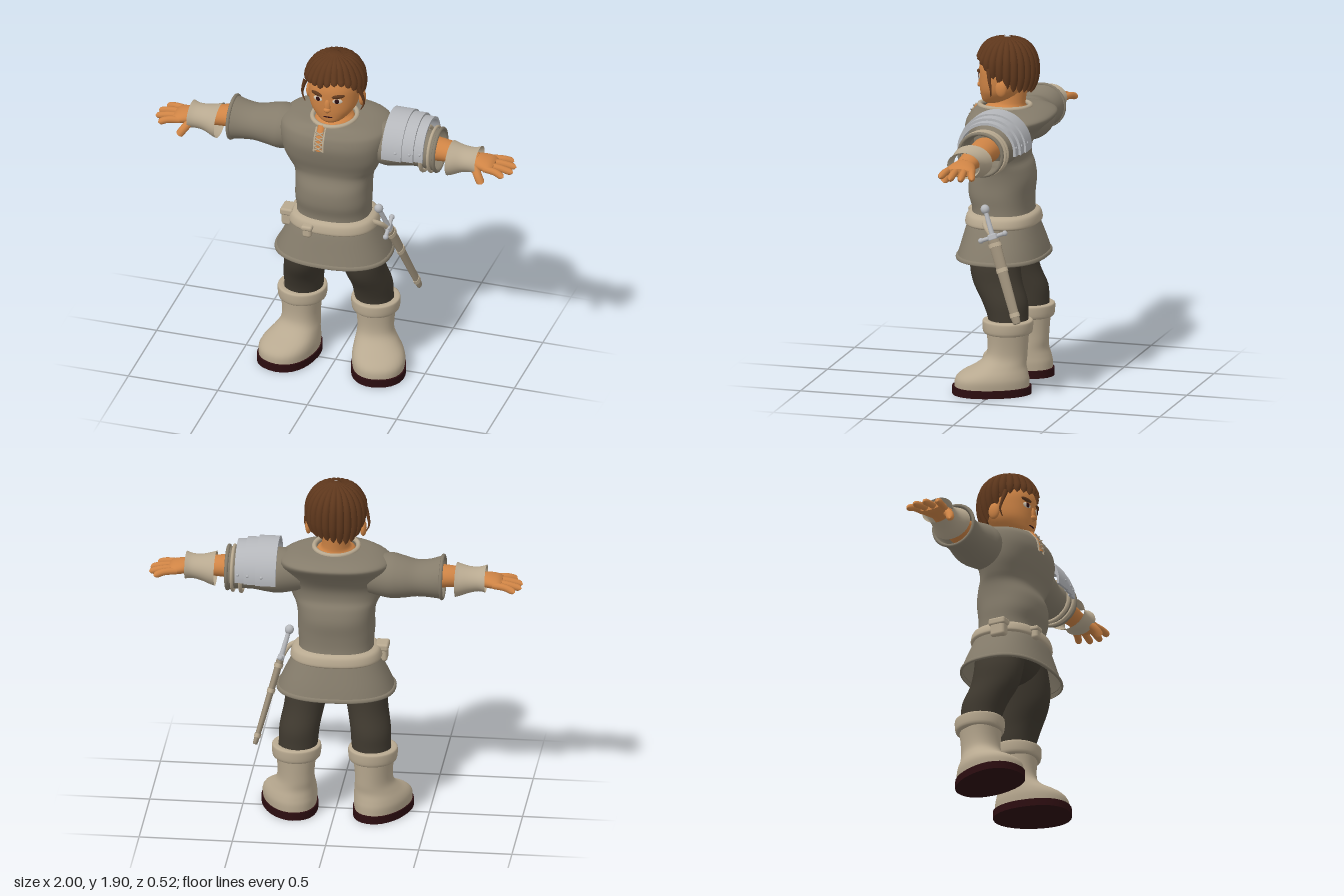
import * as THREE from 'three';
import { toCreasedNormals } from 'three/addons/utils/BufferGeometryUtils.js';
import { RoundedBoxGeometry } from 'three/addons/geometries/RoundedBoxGeometry.js';

const mat = (name, color, side = THREE.FrontSide) => {
  const m = new THREE.MeshStandardMaterial({ color, side });
  m.name = name;
  return m;
};
const V = (x, y, z) => new THREE.Vector3(x, y, z);

// Smooth skin through elliptical sections [t, c1, c2, r1, r2].
// Axis 'y': t=y, 1=x, 2=z. Axis 'x': t=x, 1=z, 2=y. Sections ascend in t.
function loft(sections, { axis = 'y', power = 2, egg = 0, seg = 32, steps = 4, caps = false } = {}) {
  const rows = [], pos = [], idx = [], n = sections.length;
  for (let i = 0; i <= (n - 1) * steps; i++) {
    const k = Math.min(Math.floor(i / steps), n - 2), f = i / steps - k;
    const at = (j) => sections[Math.max(0, Math.min(n - 1, j))];
    rows.push(at(k).map((_, c) => {
      const [a, b, d, e] = [at(k - 1)[c], at(k)[c], at(k + 1)[c], at(k + 2)[c]];
      const v = b + 0.5 * f * (d - a + f * (2 * a - 5 * b + 4 * d - e + f * (3 * (b - d) + e - a)));
      return Math.max(Math.min(b, d) - 0.01, Math.min(Math.max(b, d) + 0.01, v));
    }));
  }
  const put = (t, u, v) => (axis === 'y' ? pos.push(u, t, v) : pos.push(t, v, u));
  const bend = (s) => Math.sign(s) * Math.abs(s) ** (2 / power);
  const ring = ([t, c1, c2, r1, r2]) => {
    for (let j = 0; j < seg; j++) {
      const a = (j / seg) * Math.PI * 2, s = Math.sin(a), c = Math.cos(a);
      put(t, c1 + r1 * bend(s) * (1 + egg * c), c2 + r2 * bend(c));
    }
  };
  rows.forEach(ring);
  for (let i = 0; i < rows.length - 1; i++) for (let j = 0; j < seg; j++) {
    const a = i * seg + j, b = i * seg + ((j + 1) % seg);
    idx.push(a, b, b + seg, a, b + seg, a + seg);
  }
  if (caps) [rows[0], rows[rows.length - 1]].forEach((r, top) => {
    const base = pos.length / 3;
    ring(r);
    put(r[0], r[1], r[2]);
    for (let j = 0; j < seg; j++) {
      const a = base + j, b = base + ((j + 1) % seg);
      top ? idx.push(a, b, base + seg) : idx.push(b, a, base + seg);
    }
  });
  const g = new THREE.BufferGeometry();
  g.setAttribute('position', new THREE.Float32BufferAttribute(pos, 3));
  g.setIndex(idx);
  g.computeVertexNormals();
  return g;
}

// Tube along points whose radius is scaled by a rule
function taper(points, radius, rule = () => 1, closed = false, ts = 14, rs = 10) {
  const curve = new THREE.CatmullRomCurve3(points, closed);
  const g = new THREE.TubeGeometry(curve, ts, radius, rs, closed), p = g.attributes.position, v = V(0, 0, 0);
  for (let i = 0; i <= ts; i++) {
    const c = curve.getPointAt(i / ts);
    for (let j = 0; j <= rs; j++) {
      const k = i * (rs + 1) + j;
      v.fromBufferAttribute(p, k).sub(c).multiplyScalar(rule(i / ts)).add(c);
      p.setXYZ(k, v.x, v.y, v.z);
    }
  }
  return g;
}
const rounded = (t) => Math.sqrt(Math.max(0, 1 - Math.max(0, (t - 0.8) / 0.2) ** 2));
const ball = (x, y, z, rx, ry, rz, turn = 0, tilt = 0) =>
  new THREE.SphereGeometry(1, 20, 14).scale(rx, ry, rz).rotateZ(tilt).rotateY(turn).translate(x, y, z);
const hoop = (x, y, z, rz, ry, r) =>
  new THREE.TorusGeometry(1, r / rz, 8, 32).rotateY(Math.PI / 2).scale(r, ry, rz).scale(rz / r, 1, 1).translate(x, y, z);

function mirror(geo) {
  const g = geo.clone().scale(-1, 1, 1), a = g.index.array;
  for (let i = 0; i < a.length; i += 3) [a[i], a[i + 1]] = [a[i + 1], a[i]];
  return g;
}

export function createModel() {
  const root = new THREE.Group();
  root.name = 'adventurer';
  const skin = mat('skin', 0xcf8445), cloth = mat('tunic cloth', 0x857c6b, THREE.DoubleSide);
  const leather = mat('pale leather', 0xb8a990, THREE.DoubleSide), dark = mat('trouser cloth', 0x3f392f);
  const soleMat = mat('sole', 0x2c0d10), hair = mat('hair', 0x5e371c), metal = mat('steel', 0xb5b7bb);
  const sheath = mat('scabbard leather', 0x9a8d78), white = mat('eye white', 0xd8cbb8);
  const add = (name, geo, m, parent = root) => {
    const mesh = new THREE.Mesh(geo, m);
    mesh.name = name;
    parent.add(mesh);
    return mesh;
  };
  const pair = (name, geo, m) => {
    add('left' + name, geo, m);
    add('right' + name, mirror(geo), m);
  };

  // Tunic, hem, collar and belt
  add('tunic', loft([
    [0.71, 0, 0.017, 0.315, 0.237], [0.78, 0, 0.017, 0.285, 0.217], [0.88, 0, 0.02, 0.235, 0.186],
    [0.93, 0, 0.017, 0.205, 0.165], [0.98, 0, 0.02, 0.2, 0.16], [1.05, 0, 0.028, 0.205, 0.17],
    [1.13, 0, 0.022, 0.205, 0.172], [1.2, 0, 0.015, 0.215, 0.15], [1.25, 0, 0.028, 0.24, 0.14],
    [1.32, 0, 0.035, 0.27, 0.157], [1.4, 0, 0.015, 0.29, 0.195], [1.46, 0, -0.022, 0.3, 0.224],
    [1.49, 0, -0.033, 0.28, 0.218], [1.515, 0, -0.015, 0.21, 0.18], [1.525, 0, 0.012, 0.12, 0.137],
  ], { power: 2.4, seg: 48 }), cloth);
  add('tunicHem', loft([[0.703, 0, 0.017, 0.31, 0.232], [0.708, 0, 0.017, 0.32, 0.242],
    [0.722, 0, 0.017, 0.317, 0.239], [0.728, 0, 0.017, 0.305, 0.23]], { power: 2.4, seg: 48 }), cloth);
  const collarPts = Array.from({ length: 16 }, (_, i) => {
    const a = (i / 16) * Math.PI * 2;
    return V(0.118 * Math.sin(a), 1.525, 0.012 + 0.138 * Math.cos(a));
  });
  add('collar', taper(collarPts, 0.013, undefined, true, 40, 8), leather);
  add('belt', loft([[0.885, 0, 0.018, 0.232, 0.186], [0.898, 0, 0.018, 0.245, 0.196],
    [0.94, 0, 0.018, 0.232, 0.186], [0.955, 0, 0.018, 0.2, 0.16]], { power: 2.4, seg: 48 }), leather);
  for (const [x, y, z, w, h, d] of [[-0.24, 0.9, 0.07, 0.06, 0.1, 0.085], [-0.09, 0.9, 0.212, 0.05, 0.07, 0.04]]) {
    add('pouch', new RoundedBoxGeometry(w, h, d, 3, 0.016).translate(x, y, z), leather);
    add('pouchFlap', new RoundedBoxGeometry(w + 0.012, h * 0.4, d + 0.012, 3, 0.012).translate(x, y + h * 0.32, z), leather);
  }

  // Laced neck opening
  const slit = [[1.52, 0.155], [1.46, 0.2], [1.4, 0.211]];
  add('neckOpening', taper(slit.map(([y, z]) => V(-0.03, y, z - 0.014)), 0.024), skin);
  for (const s of [-1, 1]) {
    add('openingEdge', taper(slit.map(([y, z]) => V(-0.03 + s * 0.025, y, z)), 0.006), leather);
    for (let i = 0; i < 4; i++) {
      const y = 1.41 + i * 0.025, z = 0.221 - i * i * 0.003;
      add('lace', taper([V(-0.03 - s * 0.022, y, z), V(-0.03 + s * 0.022, y + 0.022, z - 0.005)], 0.004, undefined, false, 2, 6), leather);
    }
  }

  // Arms: sleeve, cuff, forearm, wrist guard, hand
  pair('Sleeve', loft([[0.18, -0.025, 1.385, 0.1, 0.1], [0.29, -0.025, 1.385, 0.135, 0.12], [0.36, -0.03, 1.382, 0.128, 0.112],
    [0.44, -0.03, 1.378, 0.112, 0.097], [0.51, -0.028, 1.38, 0.113, 0.102], [0.575, -0.025, 1.387, 0.122, 0.117]], { axis: 'x' }), cloth);
  pair('SleeveCuff', hoop(0.575, 1.387, -0.025, 0.12, 0.115, 0.01), cloth);
  pair('Forearm', loft([[0.48, -0.025, 1.39, 0.08, 0.07], [0.6, -0.022, 1.393, 0.072, 0.058],
    [0.7, -0.01, 1.385, 0.06, 0.05], [0.8, 0, 1.375, 0.052, 0.037]], { axis: 'x', caps: true }), skin);
  pair('WristGuard', loft([[0.645, 0, 1.365, 0.112, 0.09], [0.67, 0, 1.365, 0.102, 0.083], [0.72, -0.003, 1.37, 0.082, 0.069],
    [0.77, 0, 1.375, 0.08, 0.064], [0.805, 0, 1.378, 0.092, 0.071]], { axis: 'x' }), leather);
  pair('Palm', loft([[0.77, 0, 1.375, 0.05, 0.035], [0.82, 0, 1.372, 0.07, 0.037], [0.87, 0, 1.366, 0.08, 0.032],
    [0.893, 0, 1.363, 0.068, 0.02]], { axis: 'x', caps: true }), skin);
  [[-0.06, -0.095, 0.97], [-0.021, -0.038, 1], [0.02, 0.022, 1], [0.06, 0.087, 0.965]].forEach(([z0, z1, x]) =>
    pair('Finger', taper([V(0.85, 1.366, z0), V(0.92, 1.362, (z0 + z1) / 2), V(x, 1.345, z1)], 0.019, rounded), skin));
  pair('Thumb', taper([V(0.795, 1.36, 0.05), V(0.825, 1.325, 0.085), V(0.848, 1.29, 0.1)], 0.023, rounded), skin);

  // Shoulder armour on the left arm with its straps
  [[0.3, 0.11, 0.186], [0.405, 0.068, 0.176], [0.468, 0.055, 0.163]].forEach(([x, w, r]) => {
    const arch = new THREE.Shape();
    arch.absarc(0, 0, r, -0.08, Math.PI + 0.08, false);
    arch.absarc(0, 0, r - 0.014, Math.PI + 0.08, -0.08, true);
    const g = new THREE.ExtrudeGeometry(arch, { depth: w, bevelEnabled: false, curveSegments: 28 });
    add('shoulderPlate', toCreasedNormals(g.rotateY(Math.PI / 2).translate(x, 1.388, -0.042), 0.6), metal);
    for (const s of [-1, 1])
      add('rivet', ball(x + w * 0.7, 1.42, -0.042 + s * (r - 0.003), 0.008, 0.008, 0.006), metal);
  });
  add('armStrap', hoop(0.5, 1.38, -0.028, 0.122, 0.118, 0.011), leather);
  add('armStrap', hoop(0.545, 1.385, -0.028, 0.126, 0.12, 0.009), leather);

  // Trousers and boots
  add('hips', ball(0, 0.84, 0.015, 0.22, 0.16, 0.155), dark);
  pair('TrouserLeg', loft([[0.35, 0.2, -0.07, 0.1, 0.108], [0.42, 0.195, -0.062, 0.105, 0.11], [0.5, 0.19, -0.043, 0.108, 0.125],
    [0.6, 0.17, 0.003, 0.109, 0.135], [0.7, 0.153, 0.02, 0.115, 0.137], [0.82, 0.12, 0.015, 0.11, 0.14]]), dark);
  const place = (g) => g.rotateY(0.3).translate(0.205, 0, -0.065);
  pair('Boot', place(loft([[0.035, 0.015, 0.085, 0.138, 0.2], [0.08, 0.015, 0.083, 0.142, 0.198], [0.115, 0.012, 0.07, 0.135, 0.178],
    [0.155, 0.005, 0.035, 0.117, 0.135], [0.2, 0, 0.008, 0.1, 0.112], [0.26, 0, 0, 0.098, 0.108], [0.35, 0, 0, 0.108, 0.115]],
  { egg: 0.12, power: 2.2 })), leather);
  pair('BootCuff', place(loft([[0.325, 0, 0, 0.105, 0.11], [0.335, 0, 0, 0.127, 0.131], [0.385, 0, 0, 0.132, 0.136],
    [0.4, 0, 0, 0.125, 0.13], [0.402, 0, 0, 0.1, 0.105]])), leather);
  pair('Sole', place(loft([[0, 0.015, 0.085, 0.146, 0.212], [0.042, 0.015, 0.085, 0.146, 0.212]],
    { egg: 0.12, power: 2.2, steps: 1, caps: true })), soleMat);

  // Head and face
  add('neck', loft([[1.49, 0, 0.01, 0.115, 0.13], [1.52, 0, 0.005, 0.1, 0.11], [1.55, 0, -0.015, 0.075, 0.085],
    [1.65, 0, -0.03, 0.075, 0.085]]), skin);
  add('head', loft([[1.535, 0, 0.085, 0.035, 0.035], [1.55, 0, 0.06, 0.068, 0.074], [1.58, 0, 0.04, 0.1, 0.1],
    [1.62, 0, 0.025, 0.126, 0.12], [1.68, 0, 0.01, 0.138, 0.138], [1.75, 0, 0.003, 0.138, 0.143],
    [1.82, 0, 0, 0.11, 0.115], [1.87, 0, 0, 0.05, 0.05]], { power: 2.2, caps: true }), skin);
  add('nose', ball(0, 1.648, 0.146, 0.017, 0.042, 0.012), skin);
  add('noseTip', ball(0, 1.628, 0.15, 0.02, 0.015, 0.015), skin);
  add('mouth', ball(0, 1.58, 0.138, 0.028, 0.004, 0.006), soleMat);
  pair('Ear', ball(0.147, 1.645, -0.01, 0.018, 0.046, 0.032), skin);
  pair('Eye', ball(0.055, 1.685, 0.139, 0.027, 0.015, 0.005, 0.3), white);
  pair('Iris', ball(0.053, 1.686, 0.143, 0.013, 0.014, 0.004, 0.3), soleMat);
  pair('Eyebrow', ball(0.06, 1.715, 0.14, 0.036, 0.011, 0.009, 0.35, 0.12), hair);

  // Hair: a cap whose lower edge drops toward the nape, covered with pointed locks
  const edge = (c) => 1.775 - 0.09 * (1 - c);
  const cap = new THREE.SphereGeometry(1, 36, 28).scale(0.15, 0.165, 0.155).translate(0, 1.73, 0);
  const cp = cap.attributes.position;
  for (let i = 0; i < cp.count; i++) {
    const c = cp.getZ(i) / (Math.hypot(cp.getX(i), cp.getZ(i)) || 1);
    cp.setY(i, Math.max(cp.getY(i), edge(c) + 0.025));
  }
  cap.computeVertexNormals();
  add('hairCap', cap, hair);
  for (let i = 0; i < 24; i++) {
    const a = (i / 24) * Math.PI * 2, s = Math.sin(a), c = Math.cos(a), back = (1 - c) / 2;
    const at = (r, y) => V(r * s * 0.97, y, r * c);
    const low = edge(c) - 0.01 + 0.018 * Math.sin(i * 7);
    add('hairLock', taper([at(0.025, 1.885), at(0.1, 1.858), at(0.142, 1.8),
      at(0.152, 1.8 + (low - 1.8) * 0.5), at(0.152 - 0.025 * back, low)], 0.027,
    (t) => (0.6 + 0.5 * t) * Math.sqrt(Math.max(0, 1 - t ** 4))), hair);
  }
  pair('SideStrand', taper([V(0.145, 1.75, 0.06), V(0.165, 1.69, 0.05), V(0.172, 1.64, 0.04), V(0.155, 1.6, 0.045)],
    0.014, (t) => 1 - t * 0.85), hair);

  // Sword in its scabbard, built upward from the tip
  const sword = new THREE.Group();
  sword.name = 'sword';
  const tip = V(0.415, 0.43, -0.18), pommel = V(0.25, 1.03, 0.055);
  sword.position.copy(tip);
  sword.quaternion.setFromUnitVectors(V(0, 1, 0), pommel.sub(tip).normalize());
  root.add(sword);
  add('scabbard', loft([[0, 0, 0, 0.01, 0.014], [0.03, 0, 0, 0.014, 0.024], [0.25, 0, 0, 0.017, 0.029],
    [0.47, 0, 0, 0.02, 0.034]], { caps: true, seg: 20 }), sheath, sword);
  for (const [y, r] of [[0.05, 0.028], [0.3, 0.033], [0.44, 0.037]])
    add('scabbardBand', new THREE.CylinderGeometry(r, r, 0.022, 20).scale(0.65, 1, 1).translate(0, y, 0), leather, sword);
  add('crossguard', new THREE.CylinderGeometry(0.011, 0.011, 0.14, 12).rotateX(Math.PI / 2).translate(0, 0.485, 0), metal, sword);
  for (const s of [-1, 1]) add('guardKnob', ball(0, 0.485, s * 0.07, 0.015, 0.015, 0.015), metal, sword);
  add('guardBlock', new RoundedBoxGeometry(0.035, 0.035, 0.05, 2, 0.008).translate(0, 0.485, 0), metal, sword);
  add('grip', new THREE.CylinderGeometry(0.012, 0.014, 0.14, 14).translate(0, 0.56, 0), metal, sword);
  add('pommel', ball(0, 0.64, 0, 0.024, 0.026, 0.024), metal, sword);
  add('swordStrap', taper([V(0.22, 0.93, 0.06), V(0.262, 0.91, 0.04), V(0.29, 0.87, 0)], 0.014), leather);
  return root;
}
